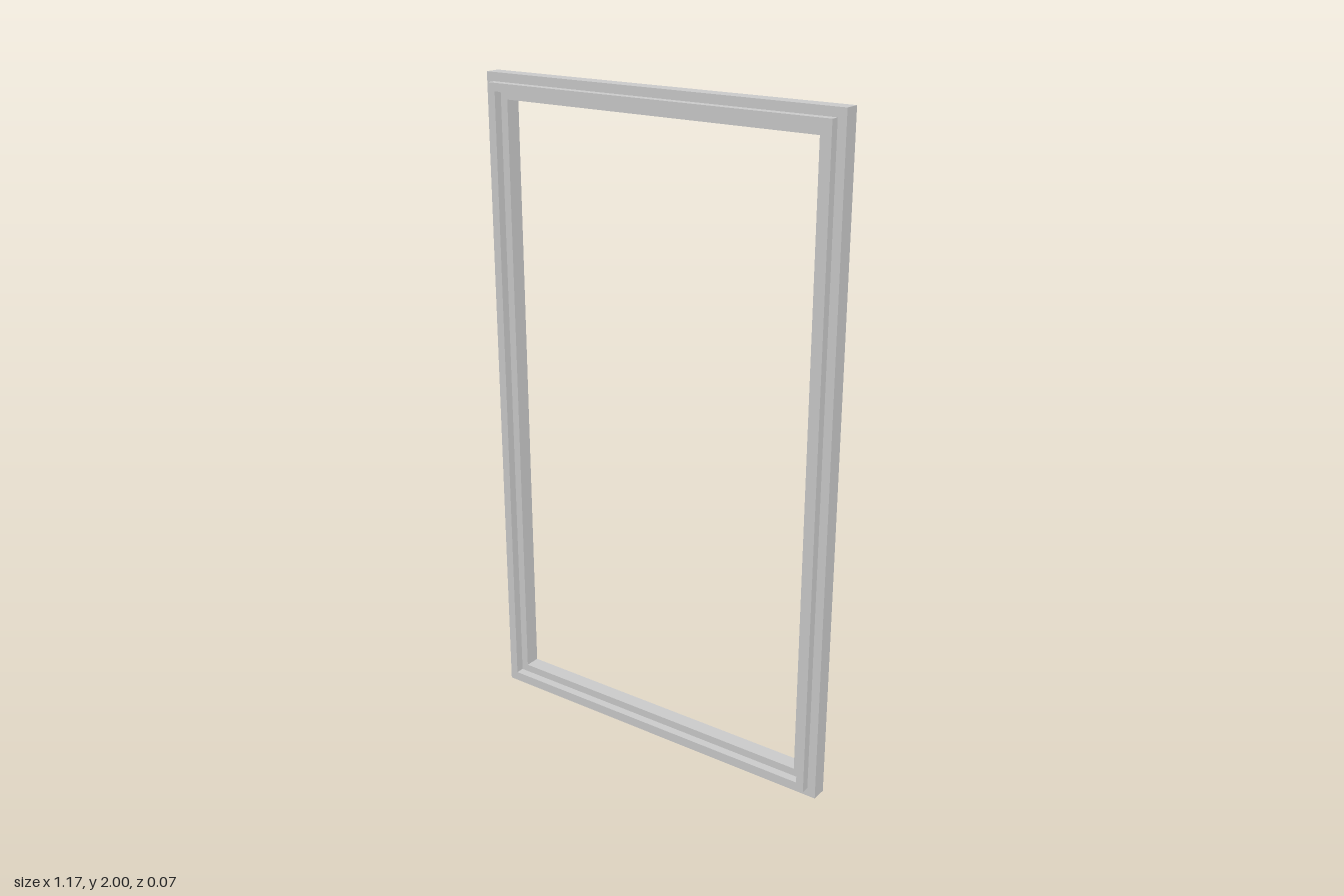
import * as THREE from 'three';

const material = new THREE.MeshStandardMaterial({ color: 0xcccccc, flatShading: true });

// Rectangle outline centred on the origin
function rectangle(PathType, halfWidth, halfHeight) {
  return new PathType([
    new THREE.Vector2(-halfWidth, -halfHeight),
    new THREE.Vector2(halfWidth, -halfHeight),
    new THREE.Vector2(halfWidth, halfHeight),
    new THREE.Vector2(-halfWidth, halfHeight),
  ]);
}

// Rectangular ring, inset from the overall outline, spanning zBack to zFront
function ring(name, insetOuter, insetInner, zBack, zFront) {
  const halfWidth = 0.587, halfHeight = 1;
  const shape = rectangle(THREE.Shape, halfWidth - insetOuter, halfHeight - insetOuter);
  shape.holes.push(rectangle(THREE.Path, halfWidth - insetInner, halfHeight - insetInner));
  const geometry = new THREE.ExtrudeGeometry(shape, { depth: zFront - zBack, bevelEnabled: false });
  geometry.translate(0, halfHeight, zBack);
  const mesh = new THREE.Mesh(geometry, material);
  mesh.name = name;
  return mesh;
}

export function createModel() {
  const group = new THREE.Group();
  group.name = 'windowFrame';
  // Main frame, with a narrow raised bead on its front face
  group.add(ring('frame', 0, 0.074, -0.037, 0.011));
  group.add(ring('raisedBead', 0.026, 0.05, 0.011, 0.037));
  return group;
}
